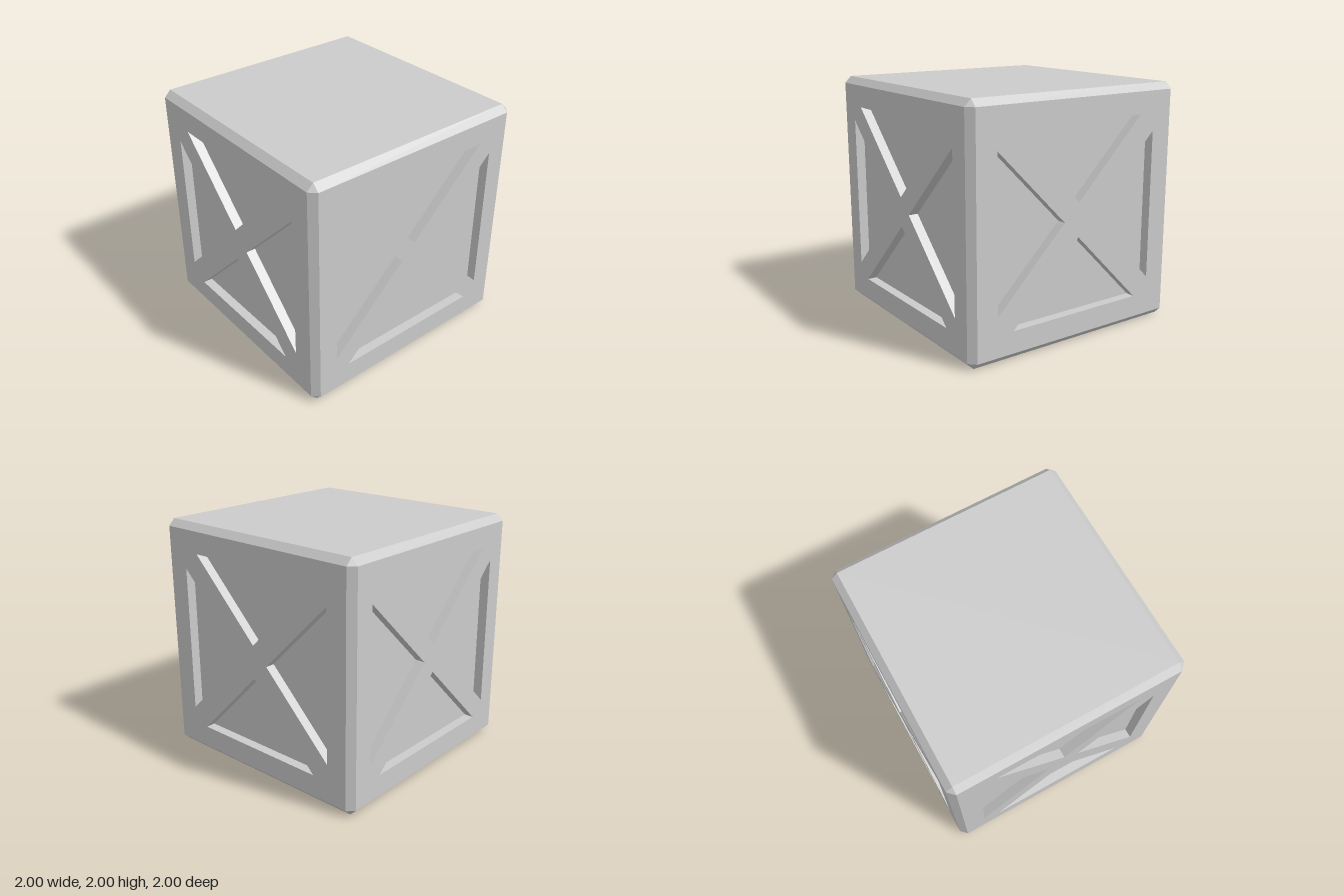
import * as THREE from 'three';
import { mergeGeometries } from 'three/addons/utils/BufferGeometryUtils.js';

const K = 0.945;      // half size of the flat part of each side
const DEPTH = 0.08;   // depth of the triangular pockets

const material = new THREE.MeshStandardMaterial({ color: 0xcccccc, flatShading: true });

// Flat convex polygon from corner arrays, as a triangle fan
function polygon(corners) {
  const pos = [];
  for (let i = 1; i < corners.length - 1; i++) pos.push(...corners[0], ...corners[i], ...corners[i + 1]);
  const g = new THREE.BufferGeometry();
  g.setAttribute('position', new THREE.Float32BufferAttribute(pos, 3));
  g.computeVertexNormals();
  return g;
}

// Same, turned so that it faces away from the centre
function outwardPolygon(corners) {
  const [a, b, c] = corners.map((p) => new THREE.Vector3(...p));
  const n = b.clone().sub(a).cross(c.clone().sub(a));
  return polygon(n.dot(a) < 0 ? [...corners].reverse() : corners);
}

// Bevelled edges and corner facets around the cube
function bevels() {
  const parts = [];
  const point = (axis, a, b, c) => {
    const p = [0, 0, 0];
    p[axis] = a; p[(axis + 1) % 3] = b; p[(axis + 2) % 3] = c;
    return p;
  };
  for (const s of [-1, 1]) for (const t of [-1, 1]) {
    for (let axis = 0; axis < 3; axis++) {
      parts.push(outwardPolygon([
        point(axis, -K, s, t * K), point(axis, K, s, t * K),
        point(axis, K, s * K, t), point(axis, -K, s * K, t),
      ]));
    }
    for (const u of [-1, 1]) {
      parts.push(outwardPolygon([[s, t * K, u * K], [s * K, t, u * K], [s * K, t * K, u]]));
    }
  }
  return mergeGeometries(parts);
}

// Four counter-clockwise triangles left open between the crossed braces
function pocketTriangles({ w, h, wideHalf, wideTip, tallHalf, tallTip }) {
  const top = [[0, wideTip], [wideHalf, h], [-wideHalf, h]];
  const right = [[tallTip, 0], [w, -tallHalf], [w, tallHalf]];
  const turn = (tri) => tri.map(([x, y]) => [-x, -y]);
  return [top, right, turn(top), turn(right)];
}

// Side panel facing +z: pierced face, pocket walls and pocket floors
function bracedPanel(name, pattern) {
  const panel = new THREE.Group();
  panel.name = name;
  const outline = new THREE.Shape([[-K, -K], [K, -K], [K, K], [-K, K]].map((p) => new THREE.Vector2(...p)));
  const pockets = [];
  for (const tri of pocketTriangles(pattern)) {
    outline.holes.push(new THREE.Path([...tri, tri[0]].map((p) => new THREE.Vector2(...p))));
    pockets.push(polygon(tri.map(([x, y]) => [x, y, 1 - DEPTH])));
    tri.forEach((p, i) => {
      const q = tri[(i + 1) % 3];
      pockets.push(polygon([[...p, 1], [...q, 1], [...q, 1 - DEPTH], [...p, 1 - DEPTH]]));
    });
  }
  const face = new THREE.Mesh(new THREE.ShapeGeometry(outline).translate(0, 0, 1), material);
  face.name = 'frameAndBraces';
  const recess = new THREE.Mesh(mergeGeometries(pockets), material);
  recess.name = 'pockets';
  panel.add(face, recess);
  return panel;
}

export function createModel() {
  const crate = new THREE.Group();
  crate.name = 'crate';
  const body = new THREE.Group();
  body.name = 'body';
  body.position.y = 1;
  crate.add(body);

  const edges = new THREE.Mesh(bevels(), material);
  edges.name = 'bevelledEdges';
  body.add(edges);

  // Plain lid
  const lid = new THREE.Mesh(new THREE.PlaneGeometry(2 * K, 2 * K).rotateX(-Math.PI / 2).translate(0, 1, 0), material);
  lid.name = 'lid';
  body.add(lid);

  // Braced sides and underside
  const frontPattern = { w: 0.783, h: 0.763, wideHalf: 0.66, wideTip: 0.12, tallHalf: 0.64, tallTip: 0.122 };
  const sidePattern = { w: 0.762, h: 0.763, wideHalf: 0.62, wideTip: 0.14, tallHalf: 0.62, tallTip: 0.14 };
  const basePattern = { w: 0.78, h: 0.78, wideHalf: 0.65, wideTip: 0.12, tallHalf: 0.65, tallTip: 0.12 };
  const sides = [
    ['frontPanel', frontPattern, 0, 0],
    ['backPanel', frontPattern, 0, Math.PI],
    ['leftPanel', sidePattern, 0, Math.PI / 2],
    ['rightPanel', sidePattern, 0, -Math.PI / 2],
    ['basePanel', basePattern, Math.PI / 2, 0],
  ];
  for (const [name, pattern, rx, ry] of sides) {
    const panel = bracedPanel(name, pattern);
    panel.rotation.set(rx, ry, 0);
    body.add(panel);
  }
  return crate;
}
